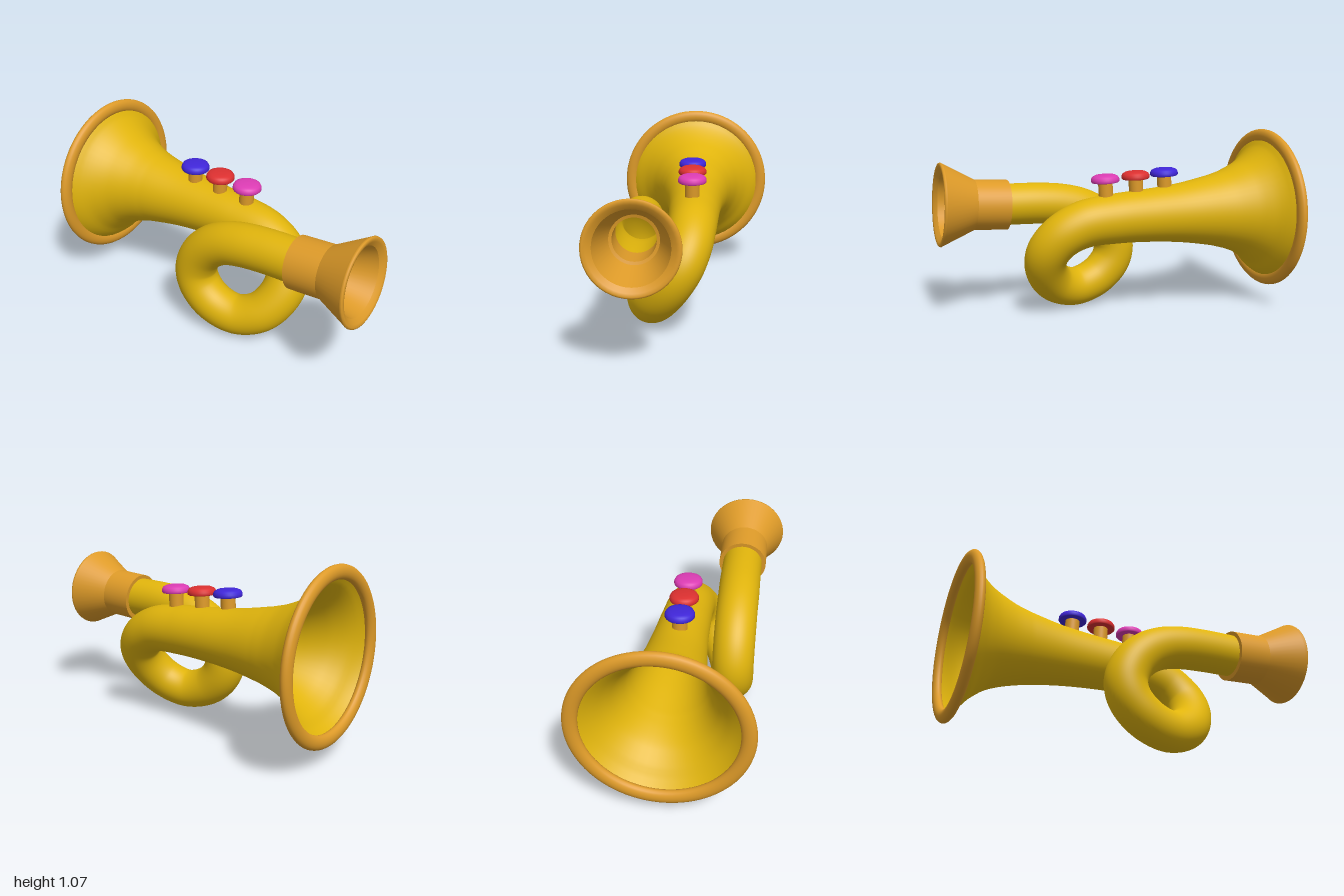
import * as THREE from 'three';
import { mergeVertices } from 'three/addons/utils/BufferGeometryUtils.js';

const paint = (color, side = THREE.FrontSide) => new THREE.MeshStandardMaterial({ color, side });

// Round tube along [x, y, z, radius] stations, open at both ends
function sweep(stations, segments, sides) {
  const path = new THREE.CatmullRomCurve3(stations.map(([x, y, z]) => new THREE.Vector3(x, y, z)));
  const radii = new THREE.SplineCurve(stations.map((s, i) => new THREE.Vector2(i, s[3])));
  const geo = new THREE.TubeGeometry(path, segments, 1, sides);
  const pos = geo.attributes.position;
  const p = new THREE.Vector3();
  for (let i = 0; i <= segments; i++) {
    const u = i / segments;
    const centre = path.getPointAt(u);
    const r = radii.getPoint(path.getUtoTmapping(u)).y;
    for (let j = 0; j <= sides; j++) {
      const k = i * (sides + 1) + j;
      p.fromBufferAttribute(pos, k).sub(centre).multiplyScalar(r).add(centre);
      pos.setXYZ(k, p.x, p.y, p.z);
    }
  }
  geo.deleteAttribute('uv');
  geo.deleteAttribute('normal');
  const welded = mergeVertices(geo);
  welded.computeVertexNormals();
  return welded;
}

// Lathe around y; each run of points is smooth, runs meet in sharp edges
function turned(name, runs, material) {
  const group = new THREE.Group();
  group.name = name;
  for (const run of runs) {
    const mesh = new THREE.Mesh(
      new THREE.LatheGeometry(run.map(([r, y]) => new THREE.Vector2(r, y)), 48), material);
    mesh.name = name + 'Surface';
    group.add(mesh);
  }
  return group;
}

export function createModel() {
  const model = new THREE.Group();
  model.name = 'toyHorn';
  const gold = paint(0xe0b40c, THREE.DoubleSide);
  const amber = paint(0xdd9a28);
  const amberOpen = paint(0xdd9a28, THREE.DoubleSide);

  // Flared bell running into the looped pipe
  const pipe = new THREE.Mesh(sweep([
    [-0.96, 0.588, -0.03, 0.43], [-0.94, 0.588, -0.03, 0.41], [-0.88, 0.59, -0.03, 0.345],
    [-0.8, 0.592, -0.03, 0.287], [-0.7, 0.592, -0.03, 0.243], [-0.6, 0.592, -0.03, 0.214],
    [-0.4, 0.59, -0.028, 0.178], [-0.2, 0.588, -0.025, 0.158], [0, 0.582, -0.02, 0.147],
    [0.2, 0.56, -0.012, 0.138], [0.33, 0.495, 0.005, 0.13], [0.4, 0.4, 0.045, 0.126],
    [0.398, 0.29, 0.11, 0.123], [0.32, 0.175, 0.19, 0.12], [0.18, 0.122, 0.24, 0.117],
    [0.03, 0.165, 0.265, 0.12], [-0.065, 0.26, 0.27, 0.122], [-0.088, 0.36, 0.27, 0.122],
    [-0.05, 0.465, 0.27, 0.122], [0.03, 0.55, 0.27, 0.122], [0.13, 0.605, 0.27, 0.122],
    [0.25, 0.635, 0.27, 0.123], [0.4, 0.65, 0.268, 0.123], [0.62, 0.656, 0.268, 0.122],
  ], 180, 48), gold);
  pipe.name = 'bellAndPipe';
  model.add(pipe);

  // Rolled rim of the bell
  const rim = new THREE.Mesh(new THREE.TorusGeometry(0.445, 0.04, 20, 80), amber);
  rim.name = 'bellRim';
  rim.scale.z = 0.7;
  rim.rotation.set(0, Math.PI / 2, 0);
  rim.position.set(-0.968, 0.588, -0.03);
  model.add(rim);

  // Hollow mouthpiece: sleeve, flared cup, lip and inner funnel
  const mouthpiece = turned('mouthpiece', [
    [[0.118, 0], [0.147, 0]],
    [[0.147, 0], [0.147, 0.195]],
    [[0.147, 0.195], [0.238, 0.38]],
    [[0.238, 0.38], [0.243, 0.388], [0.241, 0.396], [0.232, 0.4], [0.215, 0.396], [0.19, 0.375]],
    [[0.19, 0.375], [0.128, 0.19]],
    [[0.128, 0.19], [0.112, 0.185]],
    [[0.112, 0.185], [0.112, 0]],
  ], amberOpen);
  mouthpiece.position.set(0.587, 0.653, 0.268);
  mouthpiece.rotation.z = -Math.PI / 2 + 0.06;
  model.add(mouthpiece);

  // Three valve buttons on stems, following the slope of the pipe
  const valves = [[-0.3, 0.866, 0x4026d8], [-0.118, 0.856, 0xdc3030], [0.071, 0.845, 0xdc3cb4]];
  for (const [x, top, color] of valves) {
    const valve = new THREE.Group();
    valve.name = 'valve';
    const stem = new THREE.Mesh(new THREE.CylinderGeometry(0.042, 0.042, 0.17, 32), amber);
    stem.name = 'valveStem';
    stem.position.y = -0.115;
    const cap = turned('valveCap', [
      [[0, -0.045], [0.078, -0.045]],
      [[0.078, -0.045], [0.082, -0.04], [0.082, -0.026], [0.075, -0.013], [0.06, -0.005], [0.035, -0.001], [0, 0]],
    ], paint(color));
    valve.add(stem, cap);
    valve.position.set(x, top, -0.013);
    valve.rotation.z = -0.05;
    model.add(valve);
  }
  return model;
}
